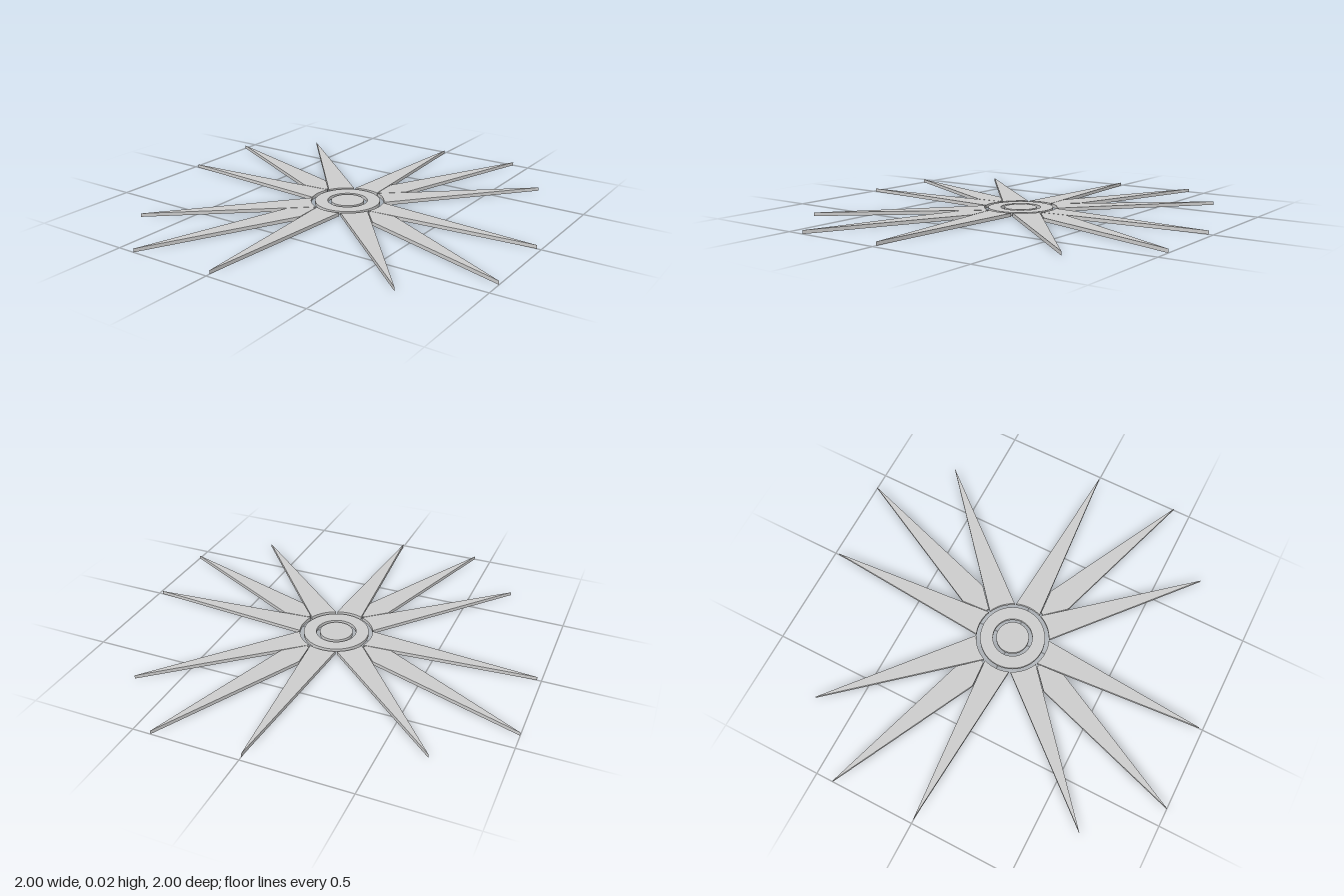
import * as THREE from 'three';

const THICKNESS = 0.017;
const material = new THREE.MeshStandardMaterial({ color: 0xcccccc });

// Flat plate lying on the ground, cut from an outline
function plate(shape) {
  const geometry = new THREE.ExtrudeGeometry(shape, {
    depth: THICKNESS, bevelEnabled: false, curveSegments: 48,
  });
  return geometry.rotateX(-Math.PI / 2);
}

function disc(radius, holeRadius = 0) {
  const shape = new THREE.Shape().absarc(0, 0, radius, 0, Math.PI * 2);
  if (holeRadius) {
    shape.holes.push(new THREE.Path().absarc(0, 0, holeRadius, 0, Math.PI * 2, true));
  }
  return plate(shape);
}

// Main ray: long triangle with a base hollowed to follow the hub
function mainRay(tip, baseRadius, halfWidth) {
  const a = Math.asin(halfWidth / baseRadius);
  const shape = new THREE.Shape()
    .moveTo(tip, 0)
    .lineTo(baseRadius * Math.cos(a), halfWidth)
    .absarc(0, 0, baseRadius, a, -a, true);
  shape.closePath();
  return plate(shape);
}

// In-between ray: widest at its shoulders, narrowing between its neighbours
function betweenRay(tip) {
  return plate(new THREE.Shape([
    [tip, 0], [0.302, 0.063], [0.19, 0.008], [0.19, -0.008], [0.302, -0.063],
  ].map(([x, y]) => new THREE.Vector2(x, y))));
}

export function createModel() {
  const group = new THREE.Group();
  const add = (name, geometry, angle = 0) => {
    const mesh = new THREE.Mesh(geometry, material);
    mesh.name = name;
    mesh.rotation.y = angle;
    group.add(mesh);
  };

  // Hub
  add('centreDisc', disc(0.079));
  add('hubRing', disc(0.157, 0.096));

  // Eight even rays
  const main = mainRay(0.98, 0.176, 0.064);
  for (let i = 0; i < 8; i++) add('mainRay', main, (i * Math.PI) / 4);

  // Four longer rays in every other gap
  const between = betweenRay(1.082);
  for (let i = 0; i < 4; i++) {
    add('betweenRay', between, (3 * Math.PI) / 8 + (i * Math.PI) / 2);
  }

  return group;
}
